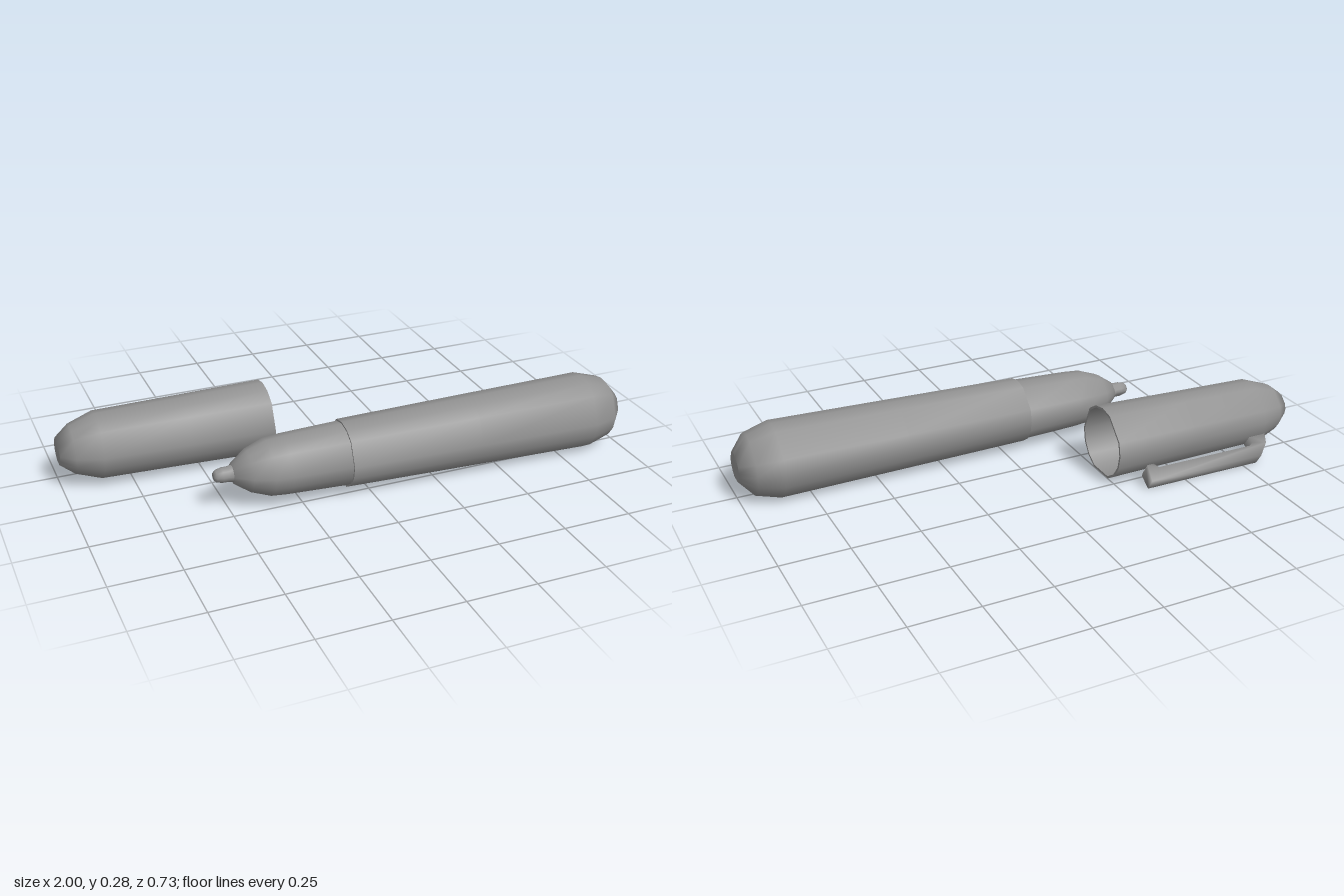
import * as THREE from 'three';
import { toCreasedNormals } from 'three/addons/utils/BufferGeometryUtils.js';

const material = new THREE.MeshStandardMaterial({ color: 0x929292 });

// Uneven ring: a 16-sided circle with a few corners left out
const ring = [0, 1, 3, 4, 5, 6, 8, 9, 10, 11, 13, 14, 15].map((k) => (k * Math.PI) / 8);

// Skin a profile of [x, radius] pairs around a slightly leaning axis
function loft(name, profile, axis) {
  const n = ring.length, positions = [], index = [];
  for (const [x, r] of profile) {
    const [y, z] = axis(x);
    for (const a of ring) positions.push(x, y + r * Math.sin(a), z - r * Math.cos(a));
  }
  for (let i = 0; i < profile.length - 1; i++) {
    for (let j = 0; j < n; j++) {
      const k = (j + 1) % n;
      const a = i * n + j, b = i * n + k, c = a + n, d = b + n;
      if (profile[i][1] > 0) index.push(a, b, c);
      if (profile[i + 1][1] > 0) index.push(b, d, c);
    }
  }
  const geometry = new THREE.BufferGeometry();
  geometry.setAttribute('position', new THREE.Float32BufferAttribute(positions, 3));
  geometry.setIndex(index);
  const mesh = new THREE.Mesh(toCreasedNormals(geometry, 1.0), material);
  mesh.name = name;
  return mesh;
}

// Pen: barrel, grip section and nib
function createPen() {
  const pen = new THREE.Group();
  pen.name = 'pen';
  const axis = (x) => [0.139 - 0.002 * x, 0.207 + 0.021 * x];
  pen.add(loft('barrel', [
    [-0.085, 0.1], [-0.085, 0.121], [0.4, 0.131], [0.86, 0.14], [0.95, 0.114],
    [1, 0.055], [1, 0.05], [1, 0],
  ], axis));
  pen.add(loft('grip', [
    [-0.485, 0], [-0.485, 0.036], [-0.43, 0.076], [-0.36, 0.102], [-0.3, 0.107], [-0.08, 0.115],
  ], axis));
  pen.add(loft('nib', [
    [-0.55, 0], [-0.55, 0.014], [-0.542, 0.022], [-0.52, 0.027], [-0.5, 0.027], [-0.47, 0.034],
  ], axis));
  return pen;
}

// Cap: hollow shell with a clip on its lower back side
function createCap() {
  const cap = new THREE.Group();
  cap.name = 'cap';
  const axis = (x) => [0.139, -0.166 + 0.0235 * x];
  cap.add(loft('capShell', [
    [-1, 0], [-1, 0.046], [-1, 0.05], [-0.95, 0.09], [-0.86, 0.122], [-0.55, 0.128], [-0.24, 0.135],
    [-0.24, 0.127], [-0.55, 0.12], [-0.85, 0.114], [-0.94, 0.082], [-0.98, 0.042], [-0.98, 0],
  ], axis));

  // Clip outline: x along the cap, y outward from its axis
  const width = 0.052;
  const outline = new THREE.Shape([
    [-0.87, 0.122], [-0.855, 0.165], [-0.81, 0.211], [-0.345, 0.211], [-0.345, 0.155],
    [-0.355, 0.144], [-0.38, 0.144], [-0.395, 0.162], [-0.785, 0.162], [-0.8, 0.152], [-0.8, 0.123],
  ].map(([x, y]) => new THREE.Vector2(x, y)));
  const geometry = new THREE.ExtrudeGeometry(outline, { depth: width, bevelEnabled: false });
  geometry.translate(0, 0, -width / 2);
  const clip = new THREE.Mesh(toCreasedNormals(geometry, 1.7), material);
  clip.name = 'clip';
  // Swing the outward direction towards the back and down
  clip.rotation.x = -Math.PI / 2 - THREE.MathUtils.degToRad(33);
  const mount = new THREE.Group();
  mount.name = 'clipMount';
  mount.position.set(0, 0.139, -0.168);
  mount.rotation.y = -0.011;
  mount.add(clip);
  cap.add(mount);
  return cap;
}

export function createModel() {
  const model = new THREE.Group();
  model.name = 'markerPen';
  model.add(createPen(), createCap());
  return model;
}
